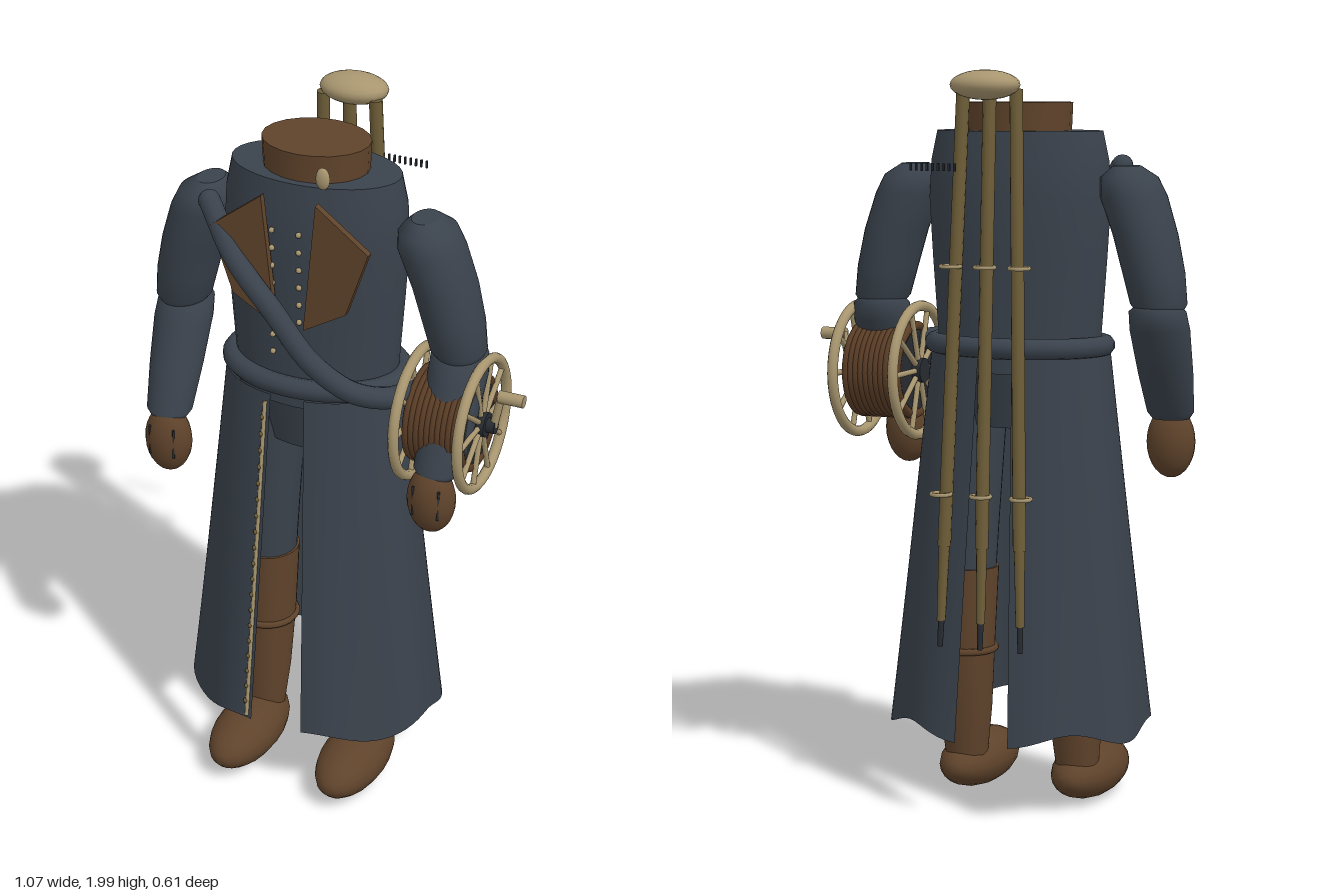
import * as THREE from 'three';

const flat = (name, color) => {
  const m = new THREE.MeshStandardMaterial({ color });
  m.name = name;
  return m;
};

export function createModel() {
  const cloth = flat('slate cloth', 0x3a424c);
  const leather = flat('brown leather', 0x5f432b);
  const rope = flat('rope brown', 0x5a3d26);
  const bone = flat('pale bone', 0xa8966f);
  const wood = flat('olive wood', 0x6e5e38);
  const iron = flat('dark iron', 0x272c32);
  const openCloth = flat('coat cloth', 0x3a424c);
  openCloth.side = THREE.DoubleSide;

  const model = new THREE.Group();
  model.name = 'coatedFigure';
  const body = new THREE.Group();
  body.name = 'body';
  body.position.x = -0.05;
  model.add(body);

  const add = (name, geo, mat, x = 0, y = 0, z = 0, parent = body) => {
    const m = new THREE.Mesh(geo, mat);
    m.name = name;
    m.position.set(x, y, z);
    parent.add(m);
    return m;
  };
  const v = (x, y, z) => new THREE.Vector3(x, y, z);

  const ball = (name, mat, p, r, ws = 20, hs = 14) =>
    add(name, new THREE.SphereGeometry(1, ws, hs).scale(...r), mat, ...p);

  // Straight round bar between two points
  const rod = (name, mat, a, b, ra, rb = ra, sides = 10) => {
    const d = b.clone().sub(a);
    const m = add(name, new THREE.CylinderGeometry(rb, ra, d.length(), sides), mat, ...a.clone().add(b).multiplyScalar(0.5));
    m.quaternion.setFromUnitVectors(v(0, 1, 0), d.normalize());
    return m;
  };

  // Capped skin over horizontal ellipses [y, x, z, rx, rz], lowest first
  const loft = (name, mat, rows, n = 28) => {
    const pos = [], idx = [];
    const ring = ([y, x, z, rx, rz]) => {
      for (let j = 0; j < n; j++) {
        const a = (j / n) * Math.PI * 2;
        pos.push(x + rx * Math.sin(a), y, z + rz * Math.cos(a));
      }
    };
    rows.forEach(ring);
    for (let i = 0; i < rows.length - 1; i++) for (let j = 0; j < n; j++) {
      const k = (j + 1) % n, a = i * n + j, b = i * n + k;
      idx.push(a, b, b + n, a, b + n, a + n);
    }
    [rows[0], rows[rows.length - 1]].forEach((row, top) => {
      const s = pos.length / 3;
      ring(row);
      pos.push(row[1], row[0], row[2]);
      for (let j = 0; j < n; j++) {
        const k = (j + 1) % n;
        idx.push(s + n, s + (top ? j : k), s + (top ? k : j));
      }
    });
    const g = new THREE.BufferGeometry();
    g.setAttribute('position', new THREE.Float32BufferAttribute(pos, 3));
    g.setIndex(idx);
    g.computeVertexNormals();
    return add(name, g, mat);
  };

  // Torso, pelvis and neck
  loft('torso', cloth, [
    [1.2, 0, 0, 0.225, 0.15], [1.3, 0, 0, 0.23, 0.15], [1.5, 0, 0, 0.245, 0.155],
    [1.66, 0, 0, 0.255, 0.158], [1.76, 0, 0, 0.25, 0.15], [1.84, 0, 0, 0.233, 0.138]], 36);
  loft('pelvis', cloth, [[1.05, 0, 0, 0.16, 0.1], [1.25, 0, 0, 0.21, 0.14]]);
  loft('neck', leather, [[1.78, 0, 0, 0.14, 0.115], [1.915, 0, 0, 0.146, 0.12]], 20);
  ball('neckStud', bone, [0.08, 1.87, 0.138], [0.02, 0.03, 0.012], 12, 8);

  // Lapels and two columns of buttons
  for (const s of [-1, 1]) {
    const p = [[0.076, 1.81], [0.222, 1.7], [0.16, 1.52], [0.04, 1.45]].map(([x, y]) => new THREE.Vector2(s * x, y));
    add('lapel', new THREE.ExtrudeGeometry(new THREE.Shape(p), { depth: 0.02, bevelEnabled: false }), leather, 0, 0, 0.157);
    for (let i = 0; i < 8; i++)
      ball('button', bone, [s * 0.038 - 0.018, 1.71 - i * 0.05, 0.157], [0.008, 0.008, 0.008], 8, 6);
  }

  // Belt and shoulder strap
  const beltPts = [];
  for (let i = 0; i < 32; i++) {
    const a = (i / 32) * Math.PI * 2;
    beltPts.push(v(0.238 * Math.sin(a), 1.27, 0.168 * Math.cos(a)));
  }
  add('belt', new THREE.TubeGeometry(new THREE.CatmullRomCurve3(beltPts, true), 64, 0.028, 10, true), cloth);
  const strapPts = [v(-0.245, 1.745, 0.13), v(-0.15, 1.62, 0.18), v(-0.035, 1.5, 0.198), v(0.07, 1.37, 0.193),
    v(0.17, 1.29, 0.16), v(0.25, 1.27, 0.12), v(0.3, 1.265, 0.05)];
  add('shoulderStrap', new THREE.TubeGeometry(new THREE.CatmullRomCurve3(strapPts), 48, 0.03, 10), cloth);
  for (const p of [strapPts[0], strapPts[6]]) ball('strapEnd', cloth, [p.x, p.y, p.z], [0.03, 0.03, 0.03], 12, 8);

  // Coat skirt: one flared panel on each side, split at front and back
  const skirtPoint = (s, u, t, inset = 0, out = 0) => {
    const rx = 0.25 + 0.113 * t + out, rz = 0.186 + 0.1 * t + out;
    const a0 = Math.asin((0.048 + 0.028 * t + inset) / rx);
    const a = a0 + (Math.PI - 2 * a0) * u;
    const fold = 1 + 0.018 * t * t * Math.sin(u * 22);
    const y = 1.25 - 1.015 * t + 0.018 * t * t * Math.sin(u * 16 + 1);
    return v(s * rx * fold * Math.sin(a), y, 0.01 + rz * fold * Math.cos(a));
  };
  for (const s of [-1, 1]) {
    const g = new THREE.PlaneGeometry(1, 1, 36, 14), p = g.attributes.position, uv = g.attributes.uv;
    for (let i = 0; i < p.count; i++) {
      const u = s > 0 ? uv.getX(i) : 1 - uv.getX(i);
      p.setXYZ(i, ...skirtPoint(s, u, 1 - uv.getY(i)));
    }
    g.computeVertexNormals();
    add('coatSkirt', g, openCloth);
  }

  // Pale trim with studs down the right front edge
  const trim = [];
  for (let i = 0; i <= 12; i++) trim.push(skirtPoint(-1, 0, 0.02 + 0.97 * i / 12, 0.015, 0.003));
  const trimCurve = new THREE.CatmullRomCurve3(trim);
  add('coatTrim', new THREE.TubeGeometry(trimCurve, 24, 0.006, 6), bone);
  for (let i = 1; i < 20; i++) {
    const p = trimCurve.getPoint(i / 20);
    ball('trimStud', wood, [p.x - 0.004, p.y, p.z + 0.003], [0.007, 0.007, 0.007], 6, 5);
  }

  for (const s of [-1, 1]) {
    // Arms
    const side = rows => rows.map(([y, x, ...r]) => [y, s * x, ...r]);
    loft('upperArm', cloth, side([
      [1.36, 0.405, -0.01, 0.055, 0.06], [1.39, 0.4, -0.01, 0.075, 0.08], [1.47, 0.385, -0.008, 0.082, 0.09],
      [1.57, 0.36, -0.005, 0.085, 0.098], [1.67, 0.325, 0, 0.088, 0.1], [1.72, 0.312, 0, 0.075, 0.09],
      [1.75, 0.305, 0, 0.035, 0.05]]));
    loft('forearm', cloth, side([
      [1.07, 0.394, 0.115, 0.05, 0.045], [1.09, 0.395, 0.108, 0.064, 0.058], [1.2, 0.4, 0.05, 0.074, 0.072],
      [1.32, 0.402, -0.005, 0.08, 0.082], [1.37, 0.4, -0.02, 0.076, 0.078], [1.39, 0.4, -0.02, 0.055, 0.055]]));
    ball('hand', leather, [s * 0.389, 1.005, 0.132], [0.067, 0.098, 0.055]);
    for (let i = 0; i < 4; i++)
      rod('fingerSeam', iron, v(s * (0.353 + i * 0.024), 1.055, 0.172), v(s * (0.353 + i * 0.024), 0.97, 0.176), 0.0035, 0.0035, 6);

    // Legs and boots
    loft('thigh', cloth, side([[0.6, 0.155, 0, 0.078, 0.08], [0.8, 0.148, 0, 0.084, 0.088], [1.16, 0.13, 0, 0.092, 0.1]]));
    loft('bootShaft', leather, side([[0.1, 0.165, 0.02, 0.058, 0.055], [0.25, 0.163, 0.01, 0.074, 0.066],
      [0.45, 0.16, 0, 0.083, 0.082], [0.65, 0.155, 0, 0.088, 0.09]]));
    add('bootStrap', new THREE.TorusGeometry(0.083, 0.01, 6, 24).rotateX(Math.PI / 2), leather, s * 0.16, 0.42, 0);
    add('foot', new THREE.SphereGeometry(1, 18, 12).rotateX(Math.PI / 2).scale(0.093, 0.077, 0.188), leather, s * 0.167, 0.082, 0.117);
  }

  // Rope reel with two spoked wheels
  const ry = 1.183;
  rod('reelCore', iron, v(0.305, ry, 0), v(0.465, ry, 0), 0.115, 0.115, 28);
  for (let i = 0; i < 11; i++)
    add('ropeCoil', new THREE.TorusGeometry(0.122, 0.013, 8, 32).rotateY(Math.PI / 2), rope, 0.31 + i * 0.015, ry, 0);
  for (const x of [0.296, 0.475]) {
    add('wheelRim', new THREE.TorusGeometry(0.177, 0.0145, 10, 40).rotateY(Math.PI / 2), bone, x, ry, 0);
    for (let i = 0; i < 10; i++) {
      const a = (i / 10) * Math.PI * 2;
      rod('spoke', bone, v(x, ry, 0), v(x, ry + 0.175 * Math.sin(a), 0.175 * Math.cos(a)), 0.008, 0.008, 8);
    }
    rod('wheelHub', iron, v(x - 0.016, ry, 0), v(x + 0.016, ry, 0), 0.034, 0.034, 16);
  }
  rod('crankAxle', iron, v(0.48, ry, 0), v(0.515, ry, 0), 0.02, 0.02, 12);
  rod('crankArm', bone, v(0.508, ry, 0), v(0.527, 1.28, 0), 0.011);
  rod('crankHandle', bone, v(0.52, 1.275, 0), v(0.59, 1.275, 0), 0.017, 0.017, 12);

  // Three splayed poles under a rounded cap on the back
  for (const s of [-1, 0, 1]) {
    const at = y => v(s * (0.075 + 0.04 * (1.93 - y) / 1.45), y, -0.207 - 0.068 * (1.93 - y) / 1.45);
    rod('pole', wood, at(1.95), at(0.75), 0.018);
    rod('poleEnd', wood, at(0.76), at(0.55), 0.015, 0.012);
    rod('poleTip', iron, at(0.56), at(0.48), 0.009, 0.007);
    for (const y of [1.49, 0.89]) {
      const p = at(y);
      add('poleRing', new THREE.TorusGeometry(0.026, 0.006, 6, 20).rotateX(Math.PI / 2), bone, p.x + s * 0.01, y, p.z - 0.013);
    }
  }
  ball('poleCap', bone, [0, 1.961, -0.237], [0.095, 0.039, 0.068], 20, 12);

  // Row of small stitches beside the poles
  for (let i = 0; i < 9; i++)
    add('stitch', new THREE.BoxGeometry(0.005, 0.02, 0.006), iron, 0.06 + i * 0.0155, 1.75, -0.297);

  return model;
}
